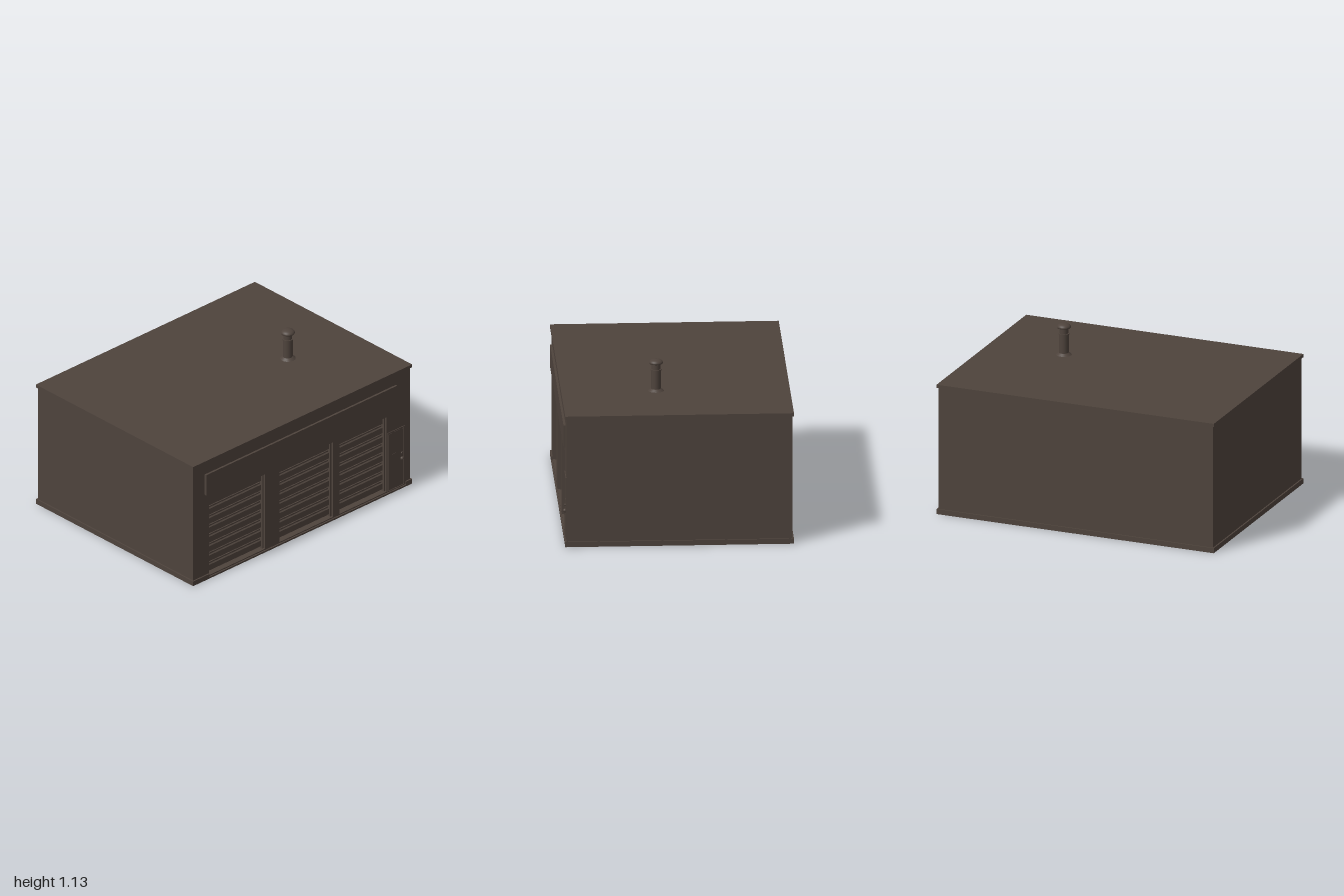
import * as THREE from 'three';

export function createModel() {
  const group = new THREE.Group();
  const brown = new THREE.MeshStandardMaterial({ color: 0x4e433c });
  brown.name = 'dark brown';

  const add = (name, geo, x = 0, y = 0, z = 0) => {
    const mesh = new THREE.Mesh(geo, brown);
    mesh.name = name;
    mesh.position.set(x, y, z);
    group.add(mesh);
    return mesh;
  };
  // Box given by its limits on each axis
  const box = (name, x0, x1, y0, y1, z0, z1) =>
    add(name, new THREE.BoxGeometry(x1 - x0, y1 - y0, z1 - z0),
      (x0 + x1) / 2, (y0 + y1) / 2, (z0 + z1) / 2);
  const rect = (Type, x0, x1, y0, y1) => new Type([
    new THREE.Vector2(x0, y0), new THREE.Vector2(x1, y0),
    new THREE.Vector2(x1, y1), new THREE.Vector2(x0, y1)]);
  // Flat plate with rectangular openings
  const plate = (name, outer, holes, z, depth) => {
    const shape = rect(THREE.Shape, ...outer);
    holes.forEach(h => shape.holes.push(rect(THREE.Path, ...h)));
    return add(name, new THREE.ExtrudeGeometry(shape, { depth, bevelEnabled: false }), 0, 0, z);
  };

  // Building shell, with garage openings in the front wall
  const bays = [[-0.845, -0.335], [-0.2, 0.285], [0.345, 0.775]];
  const bottom = 0.02, top = 0.59;
  box('body', -0.99, 0.99, 0.01, 0.89, -0.75, 0.7);
  plate('frontWall', [-0.99, 0.99, 0.01, 0.89], bays.map(b => [...b, bottom, top]), 0.7, 0.05);
  box('roof', -1, 1, 0.888, 0.91, -0.76, 0.76);

  // Base and raised plinth, broken along the front by the doors
  box('base', -1, 1, 0, 0.012, -0.76, 0.76);
  box('plinthBack', -1, 1, 0.012, 0.035, -0.76, -0.74);
  for (const s of [-1, 1])
    box('plinthSide', s < 0 ? -1 : 0.98, s < 0 ? -0.98 : 1, 0.012, 0.035, -0.74, 0.74);
  box('plinthFront', -1, -0.85, 0.012, 0.035, 0.74, 0.76);
  box('plinthFront', 0.945, 1, 0.012, 0.035, 0.74, 0.76);

  // Sign board
  box('signBoard', -0.885, 0.86, 0.65, 0.805, 0.74, 0.765);

  // Roll-up garage doors: a stepped slat profile drawn in (z, y), swept along x
  const slats = 8, pitch = (top - bottom) / slats;
  for (const [x0, x1] of bays) {
    const profile = new THREE.Shape();
    profile.moveTo(0, bottom);
    for (let i = 0; i < slats; i++) {
      const y = bottom + i * pitch;
      profile.lineTo(0.008, y);
      profile.lineTo(0.008, y + 0.008);
      profile.lineTo(0.024, y + 0.014);
      profile.lineTo(0.024, y + pitch - 0.016);
      profile.lineTo(0.016, y + pitch - 0.01);
      profile.lineTo(0.016, y + pitch);
    }
    profile.lineTo(0, top);
    const geo = new THREE.ExtrudeGeometry(profile, { depth: x1 - x0, bevelEnabled: false });
    geo.rotateY(-Math.PI / 2); // profile x -> +z, depth -> -x
    add('garageDoor', geo, x1, 0, 0.698);
    // Guide rails and lintel
    box('guideRail', x0, x0 + 0.01, bottom, top, 0.7, 0.735);
    box('guideRail', x1 - 0.01, x1, bottom, top, 0.7, 0.735);
    box('lintel', x0 + 0.01, x1 - 0.01, top - 0.012, top, 0.7, 0.735);
  }

  // Personnel door with frame, window and knob
  plate('doorFrame', [0.78, 0.942, 0.015, 0.465], [[0.79, 0.932, 0.022, 0.455]], 0.745, 0.01);
  plate('doorLeaf', [0.793, 0.929, 0.025, 0.452], [[0.824, 0.884, 0.287, 0.398]], 0.745, 0.008);
  box('doorWindow', 0.824, 0.884, 0.287, 0.398, 0.745, 0.7515);
  add('doorKnob', new THREE.SphereGeometry(0.013, 16, 10), 0.91, 0.228, 0.758);
  const lock = new THREE.CylinderGeometry(0.008, 0.008, 0.01, 16);
  lock.rotateX(Math.PI / 2);
  add('doorLock', lock, 0.912, 0.268, 0.755);

  // Roof vent: flashing, pipe, collar and domed cap
  const cyl = (name, r0, r1, y0, y1) =>
    add(name, new THREE.CylinderGeometry(r1, r0, y1 - y0, 32), 0.46, (y0 + y1) / 2, 0.13);
  cyl('ventFlashing', 0.055, 0.035, 0.908, 0.925);
  cyl('ventPipe', 0.033, 0.033, 0.91, 1.055);
  cyl('ventRing', 0.036, 0.036, 1.052, 1.06);
  cyl('ventCollar', 0.029, 0.029, 1.06, 1.095);
  cyl('ventNeck', 0.016, 0.016, 1.09, 1.106);
  cyl('ventCapRim', 0.044, 0.047, 1.099, 1.105);
  const dome = new THREE.SphereGeometry(0.047, 32, 10, 0, Math.PI * 2, 0, Math.PI / 2);
  dome.scale(1, 0.53, 1);
  add('ventCap', dome, 0.46, 1.105, 0.13);

  return group;
}
